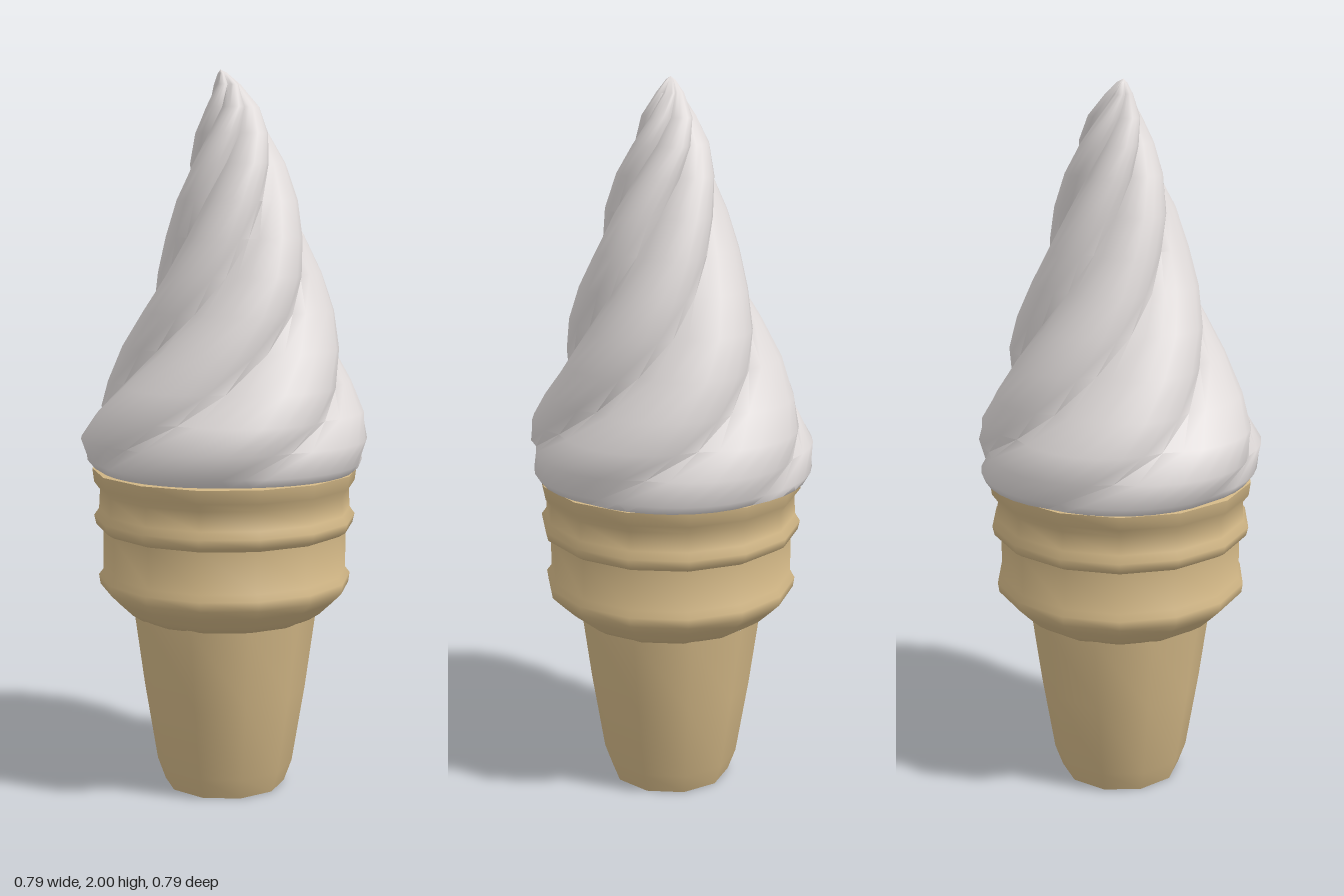
import * as THREE from 'three';
import { toCreasedNormals } from 'three/addons/utils/BufferGeometryUtils.js';

const LOBES = 5, PER_LOBE = 8, COLS = LOBES * PER_LOBE;

// Height, crest radius, crest angle in degrees, groove depth, centre x, centre z
const SWIRL = [
  [0.913, 0.375, 352, 0.03, 0.008, -0.008],
  [0.935, 0.39, 346, 0.04, 0.006, -0.006],
  [1.0, 0.402, 325, 0.07, 0, 0],
  [1.07, 0.382, 303, 0.1, 0.005, 0],
  [1.15, 0.348, 283, 0.13, 0.015, 0],
  [1.25, 0.308, 261, 0.15, 0.025, 0],
  [1.35, 0.27, 239, 0.17, 0.032, 0.005],
  [1.45, 0.234, 219, 0.19, 0.036, 0.01],
  [1.55, 0.2, 199, 0.21, 0.036, 0.01],
  [1.65, 0.17, 178, 0.23, 0.033, 0.01],
  [1.75, 0.136, 152, 0.26, 0.03, 0.005],
  [1.83, 0.106, 125, 0.28, 0.026, 0],
  [1.9, 0.075, 95, 0.3, 0.02, 0],
  [1.96, 0.038, 65, 0.3, 0.008, 0],
  [1.99, 0.014, 50, 0.2, -0.005, 0],
];

// Twisted rings with rounded lobes and sharp grooves, closed at both ends
function swirlGeometry() {
  const pos = [], index = [];
  for (const [y, r, degrees, depth, cx, cz] of SWIRL) {
    for (let j = 0; j < COLS; j++) {
      const t = (j % PER_LOBE) / PER_LOBE;
      const bump = Math.sin(Math.PI * Math.pow(t, 0.85));
      const radius = r * (1 - depth * (1 - bump));
      const a = THREE.MathUtils.degToRad(degrees - 32) + (j / COLS) * Math.PI * 2;
      pos.push(cx + radius * Math.cos(a), y, cz + radius * Math.sin(a));
    }
  }
  const rows = SWIRL.length;
  for (let i = 0; i < rows - 1; i++) {
    for (let j = 0; j < COLS; j++) {
      const k = (j + 1) % COLS;
      const a = i * COLS + j, b = i * COLS + k, c = a + COLS, d = b + COLS;
      index.push(a, c, d, a, d, b);
    }
  }
  const bottom = pos.length / 3, top = bottom + 1;
  pos.push(0, SWIRL[0][0], 0, -0.012, 2, 0);
  for (let j = 0; j < COLS; j++) {
    const k = (j + 1) % COLS, last = (rows - 1) * COLS;
    index.push(bottom, j, k, top, last + k, last + j);
  }
  const geo = new THREE.BufferGeometry();
  geo.setAttribute('position', new THREE.Float32BufferAttribute(pos, 3));
  geo.setIndex(index);
  return toCreasedNormals(geo, 1.2);
}

function lathe(points, sides) {
  const geo = new THREE.LatheGeometry(points.map(([r, y]) => new THREE.Vector2(r, y)), sides);
  return toCreasedNormals(geo, 0.95);
}

export function createModel() {
  const cream = new THREE.MeshStandardMaterial({ color: 0xe0dbda });
  cream.name = 'cream';
  const wafer = new THREE.MeshStandardMaterial({ color: 0xd2b786 });
  wafer.name = 'wafer';

  const group = new THREE.Group();
  const add = (name, geo, material) => {
    const mesh = new THREE.Mesh(geo, material);
    mesh.name = name;
    group.add(mesh);
  };

  // Tapered wafer stem with a flat foot
  add('coneStem', lathe([
    [0, 0], [0.17, 0], [0.192, 0.06], [0.228, 0.28], [0.258, 0.5],
  ], 10), wafer);

  // Wide wafer cup with a lower ridge, a middle ring and a rim lip
  add('coneCup', lathe([
    [0.23, 0.495], [0.256, 0.496], [0.285, 0.515], [0.322, 0.55],
    [0.35, 0.578], [0.354, 0.605], [0.341, 0.622], [0.341, 0.738],
    [0.36, 0.75], [0.366, 0.775], [0.352, 0.795], [0.349, 0.848],
    [0.365, 0.87], [0.37, 0.908], [0.34, 0.912],
  ], 14), wafer);

  // Soft-serve swirl rising to a curled tip
  add('iceCreamSwirl', swirlGeometry(), cream);

  return group;
}
